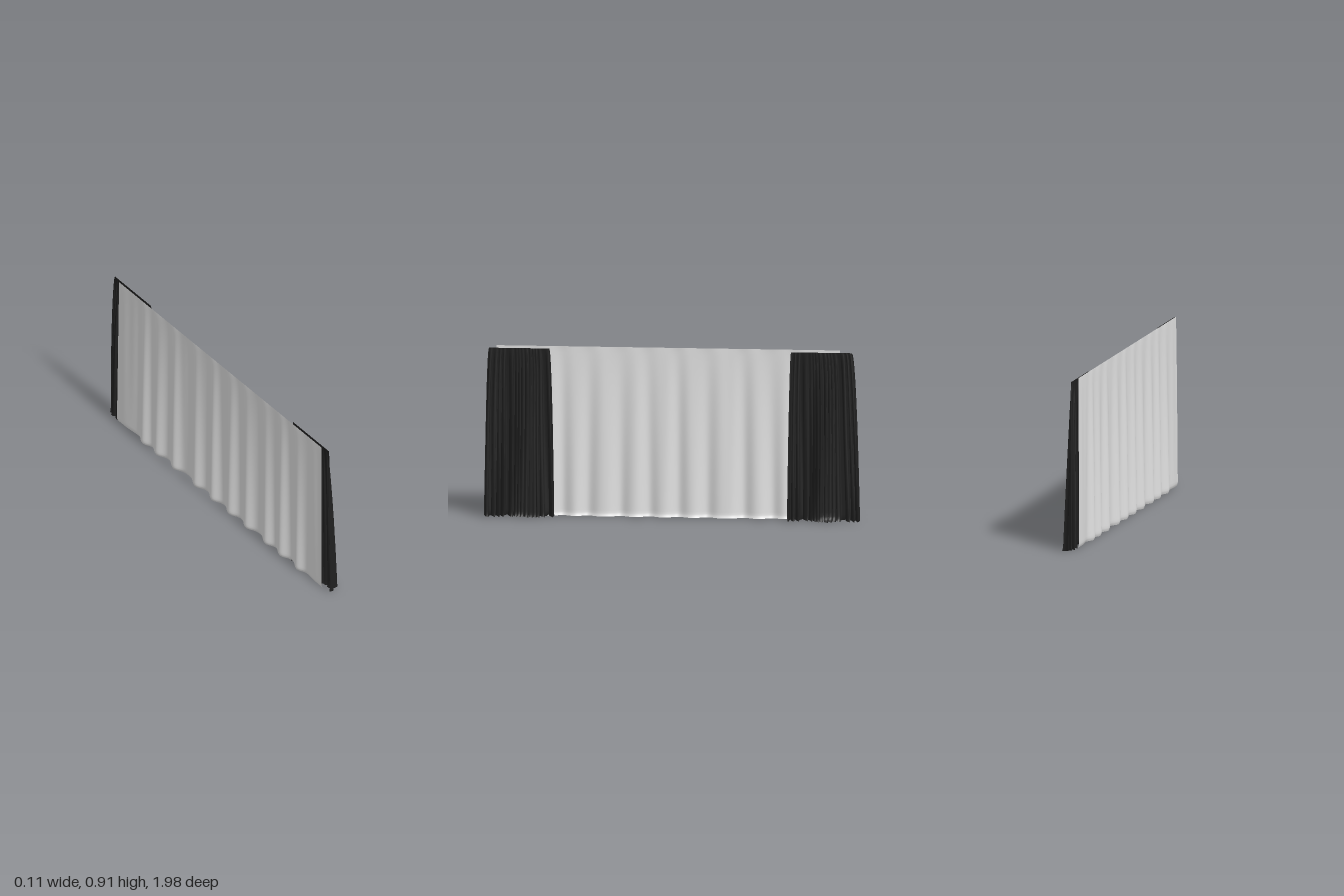
import * as THREE from 'three';

const sheerMat = new THREE.MeshStandardMaterial({ color: 0xe2e2e2, side: THREE.DoubleSide });
sheerMat.name = 'light grey sheer';
const drapeMat = new THREE.MeshStandardMaterial({ color: 0x1f1f1f, side: THREE.DoubleSide });
drapeMat.name = 'near black drape';

const lerp = THREE.MathUtils.lerp;
const bump = (v, centre, width) => Math.exp(-(((v - centre) / width) ** 2));

// Cloth sheet: place(u, t) gives a point, u along the width, t from top to hem
function cloth(name, material, nu, rows, place) {
  const nt = rows.length - 1;
  const geo = new THREE.PlaneGeometry(1, 1, nu, nt);
  const pos = geo.attributes.position;
  for (let j = 0; j <= nt; j++) {
    for (let i = 0; i <= nu; i++) {
      pos.setXYZ(j * (nu + 1) + i, ...place(i / nu, rows[j]));
    }
  }
  geo.computeVertexNormals();
  const mesh = new THREE.Mesh(geo, material);
  mesh.name = name;
  return mesh;
}

// Rows are closer together near the hem
const rows = [0, 0.015, 0.04, 0.08, 0.14, 0.21, 0.3, 0.4, 0.5, 0.6, 0.7, 0.8, 0.88, 0.94, 0.965, 0.98, 0.99, 1];

// Sheer: flat at the top, soft round folds that deepen towards the floor
const foldCentres = [0.73, 0.58, 0.45, 0.28, 0.13, -0.02, -0.17, -0.36, -0.51, -0.63];
function sheerPoint(u, t) {
  const z = lerp(0.935, -0.87, u) + 0.01 * t * (1 - 2 * u);
  const z0 = lerp(0.935, -0.87, u);
  let fold = 0;
  for (const c of foldCentres) fold += bump(z0, c, 0.042);
  const ends = THREE.MathUtils.smoothstep(Math.abs(z0 - 0.04), 0.68, 0.85);
  const depth = lerp(0.012 - 0.034 * fold, -0.004, ends) + 0.003 * Math.sin(z0 * 71) * (1 - t);
  const open = Math.pow(t, 0.65);
  const hem = Math.max(0, (t - 0.975) / 0.025) ** 2;
  const x = -0.033 - 0.004 * open + depth * open * 0.85 + 0.007 * hem;
  return [x, lerp(0.906, 0.003, t), z];
}

// Drapes: dense, irregular overlapping pleats with a small spill on the floor
function drapePoint(d, u, t) {
  const side = Math.sqrt(t);
  const hem = Math.max(0, (t - 0.965) / 0.035) ** 2;
  const zA = lerp(d.top[0], d.bottom[0], side);
  const zB = lerp(d.top[1], d.bottom[1], side);
  const phase = Math.PI * 2 * (15 * u + 0.45 * Math.sin(9 * u + d.seed) + 0.25 * Math.sin(23 * u + 2 * d.seed));
  const wave = Math.sin(phase + 0.5 * Math.sin(3 * t + 8 * u));
  const size = 0.74 + 0.26 * Math.sin(17 * u + d.seed * 3);
  const front = -0.013 + 0.047 * Math.pow(t, 0.85);
  const back = -0.013 - 0.017 * (1 - (1 - t) ** 4);
  const mid = (front + back) / 2 + 0.15 * (front - back) * Math.sin(11 * u + d.seed);
  const reach = (front - back) / 2 * size;
  let x = THREE.MathUtils.clamp(mid + reach * wave, back, front);
  const z = lerp(zA, zB, u) + Math.min(u, 1 - u, 0.06) / 0.06 * 0.007 * side * Math.sin(2 * phase + 0.6);
  // Hem spreads forward over the floor, most at one spot
  const spill = d.spill * bump(lerp(zA, zB, u), d.spillZ, 0.04);
  x += hem * (0.004 * wave + spill);
  const y = Math.max(0.001, lerp(0.896, 0, t) + 0.004 * hem * (1 + Math.cos(phase)));
  return [x, y, z];
}

const drapes = [
  { name: 'leftDrape', top: [0.972, 0.655], bottom: [0.998, 0.63], seed: 0.7, spill: 0.004, spillZ: 0.82 },
  { name: 'rightDrape', top: [-0.615, -0.935], bottom: [-0.597, -0.978], seed: 2.1, spill: 0.022, spillZ: -0.81 },
];

export function createModel() {
  const group = new THREE.Group();
  group.name = 'curtains';
  group.add(cloth('sheerCurtain', sheerMat, 400, rows, sheerPoint));
  for (const d of drapes) {
    group.add(cloth(d.name, drapeMat, 360, rows, (u, t) => drapePoint(d, u, t)));
  }
  return group;
}
